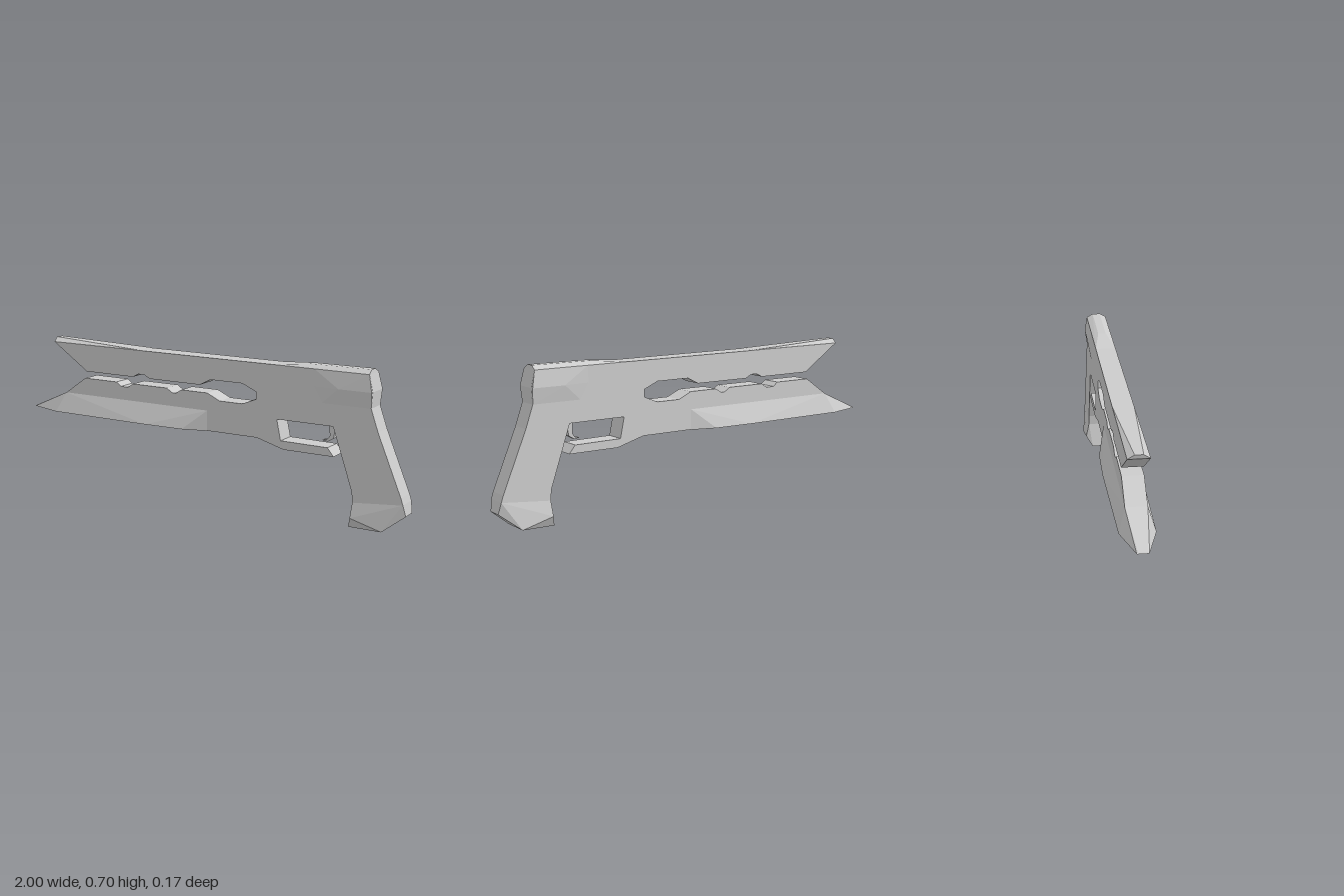
import * as THREE from 'three';
import { ConvexGeometry } from 'three/addons/geometries/ConvexGeometry.js';

const material = new THREE.MeshStandardMaterial({ color: 0xcccccc, flatShading: true });

function addMesh(group, name, geometry) {
  const mesh = new THREE.Mesh(geometry, material);
  mesh.name = name;
  group.add(mesh);
}

// Flat plate from a side outline, centred on z = 0
function plate(outline, halfWidth) {
  const shape = new THREE.Shape(outline.map(([x, y]) => new THREE.Vector2(x, y)));
  const geometry = new THREE.ExtrudeGeometry(shape, { depth: 2 * halfWidth, bevelEnabled: false });
  return geometry.translate(0, 0, -halfWidth);
}

// Faceted solid around corner points, mirrored across z
function facetedSolid(points) {
  return new ConvexGeometry(points.flatMap(([x, y, z]) => [
    new THREE.Vector3(x, y, z), new THREE.Vector3(x, y, -z),
  ]));
}

export function createModel() {
  const group = new THREE.Group();
  const w = 0.047;

  // Receiver, both rails, open trigger guard and grip in one outline
  const upperRail = [
    [0.818, 0.685], [-0.852, 0.685], [-0.66, 0.556], [-0.39, 0.556], [-0.36, 0.572],
    [-0.325, 0.572], [-0.295, 0.556], [-0.02, 0.556], [0.037, 0.585], [0.203, 0.585],
    [0.273, 0.555],
  ];
  const lowerRail = [
    [0.273, 0.52], [0.203, 0.492], [0.086, 0.492], [0.02, 0.522], [-0.12, 0.522],
    [-0.15, 0.503], [-0.17, 0.503], [-0.2, 0.522], [-0.39, 0.522], [-0.42, 0.503],
    [-0.46, 0.503], [-0.485, 0.522], [-0.67, 0.522], [-0.786, 0.44], [-0.786, 0.346],
  ];
  const guard = [
    [0.28, 0.346], [0.415, 0.308], [0.66, 0.308], [0.63, 0.345], [0.4, 0.347],
    [0.38, 0.442], [0.655, 0.442],
  ];
  const grip = [
    [0.75, 0.165], [0.754, 0.117], [0.988, 0.14], [0.978, 0.17], [0.865, 0.44],
    [0.83, 0.54], [0.835, 0.61],
  ];
  addMesh(group, 'body', plate([...upperRail, ...lowerRail, ...guard, ...grip], w));

  // Flared skirt of the lower rail, tapering to the front tip
  addMesh(group, 'flaredLowerRail', facetedSolid([
    [-1, 0.345, 0.025], [-0.995, 0.35, 0.02],
    [-0.83, 0.345, 0.077], [-0.3, 0.345, 0.086], [-0.1, 0.345, 0.08], [0.02, 0.345, w],
    [-0.786, 0.44, w], [-0.1, 0.44, w], [0.02, 0.44, w],
  ]));

  // Raised, bevelled ends of the top ridge
  addMesh(group, 'frontRidge', facetedSolid([
    [-0.857, 0.705, 0.018], [-0.852, 0.685, w], [-0.34, 0.686, w],
  ]));
  addMesh(group, 'rearRidge', facetedSolid([
    [0.36, 0.685, w], [0.53, 0.7, 0.018], [0.815, 0.702, 0.018], [0.818, 0.685, w],
  ]));

  // Swelling at the back of the receiver
  addMesh(group, 'rearSwell', facetedSolid([
    [0.56, 0.61, w], [0.68, 0.61, 0.058], [0.834, 0.61, 0.057],
    [0.6, 0.54, w], [0.83, 0.54, w], [0.56, 0.685, w], [0.818, 0.685, w],
  ]));

  // Flared grip base
  addMesh(group, 'gripBase', facetedSolid([
    [0.754, 0.117, w], [0.988, 0.14, w], [0.998, 0.088, 0.035],
    [0.9, 0.012, 0.064], [0.73, 0, 0.03], [0.75, 0.05, 0.062],
  ]));

  // Curved trigger
  addMesh(group, 'trigger', plate([
    [0.622, 0.445], [0.625, 0.39], [0.612, 0.373], [0.588, 0.368],
    [0.615, 0.364], [0.642, 0.38], [0.655, 0.445],
  ], 0.015));

  return group;
}
